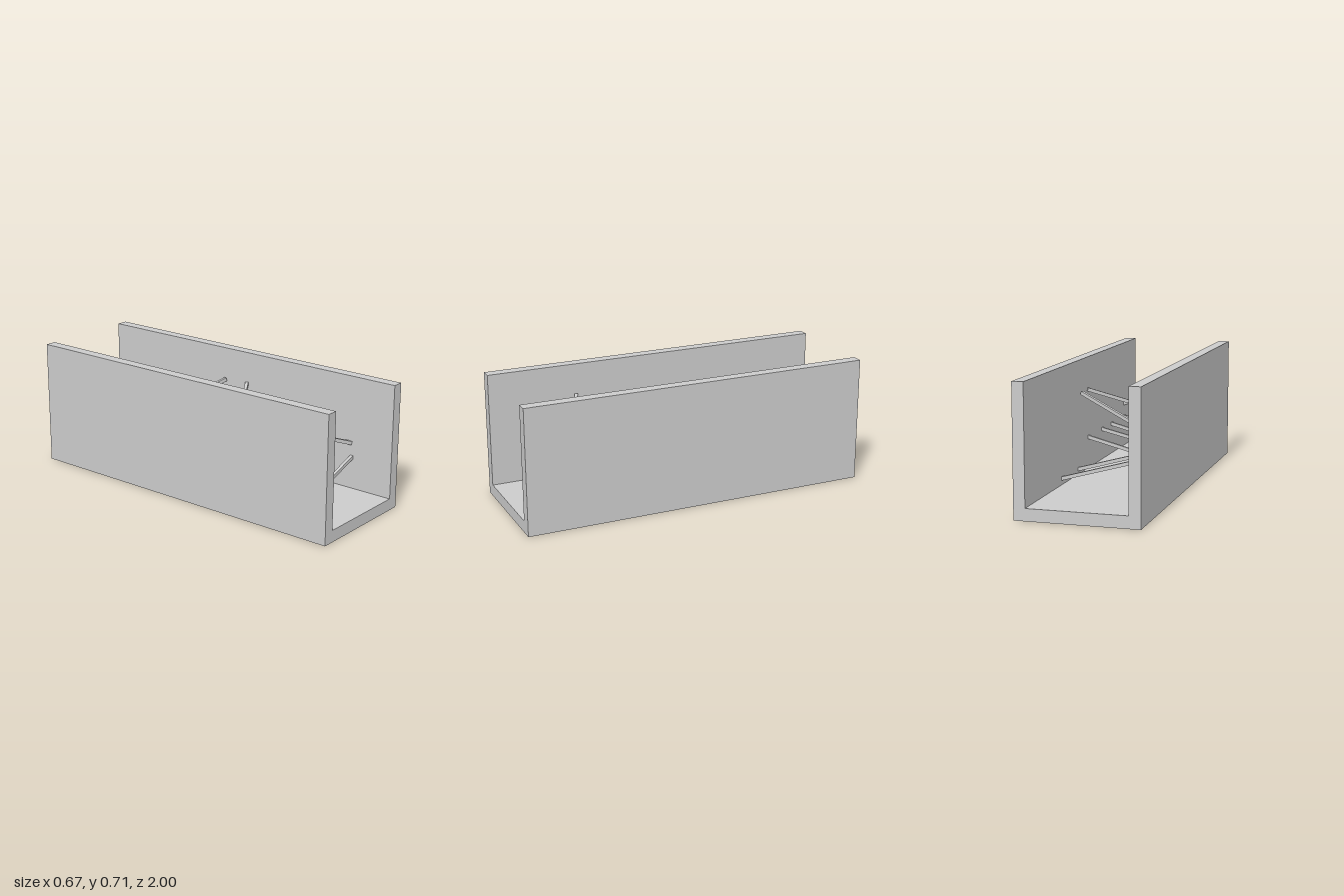
import * as THREE from 'three';

export function createModel() {
  const group = new THREE.Group();
  const material = new THREE.MeshStandardMaterial({ color: 0xcccccc, flatShading: true });

  // Open-topped channel: floor and two side walls in one section
  const W = 0.336, IN = 0.273, H = 0.713, FLOOR = 0.067, LENGTH = 2;
  const section = new THREE.Shape([
    [-W, 0], [W, 0], [W, H], [IN, H], [IN, FLOOR], [-IN, FLOOR], [-IN, H], [-W, H],
  ].map(([x, y]) => new THREE.Vector2(x, y)));
  const channelGeometry = new THREE.ExtrudeGeometry(section, { depth: LENGTH, bevelEnabled: false });
  channelGeometry.translate(0, 0, -LENGTH / 2);
  const channel = new THREE.Mesh(channelGeometry, material);
  channel.name = 'channel';
  group.add(channel);

  // Square bar running between two points
  function addBar(name, from, to) {
    const a = new THREE.Vector3(...from), b = new THREE.Vector3(...to);
    const bar = new THREE.Mesh(new THREE.BoxGeometry(0.018, 0.02, a.distanceTo(b)), material);
    bar.position.copy(a).lerp(b, 0.5);
    bar.lookAt(b);
    bar.name = name;
    group.add(bar);
  }

  // Lower cross bars, in pairs: [z right, z left, y right, y left]
  [
    [0.78, 0.745, 0.106, 0.25],
    [0.505, 0.48, 0.098, 0.249],
    [0.333, 0.29, 0.106, 0.25],
    [0.055, 0.03, 0.098, 0.249],
    [-0.13, -0.15, 0.245, 0.095],
    [-0.39, -0.432, 0.249, 0.101],
  ].forEach(([zr, zl, yr, yl], i) =>
    addBar(`lowerBar${i + 1}`, [-IN - 0.003, yr, zr], [IN + 0.003, yl, zl]));

  // Upper diagonal braces, zigzagging along the channel
  addBar('upperBraceFront', [-0.268, 0.532, 0.488], [0.273, 0.331, 0.738]);
  addBar('upperBraceMiddle', [-0.244, 0.33, 0.312], [0.271, 0.528, 0.012]);
  addBar('upperBraceBack', [-0.273, 0.334, -0.38], [0.258, 0.53, -0.132]);

  return group;
}
